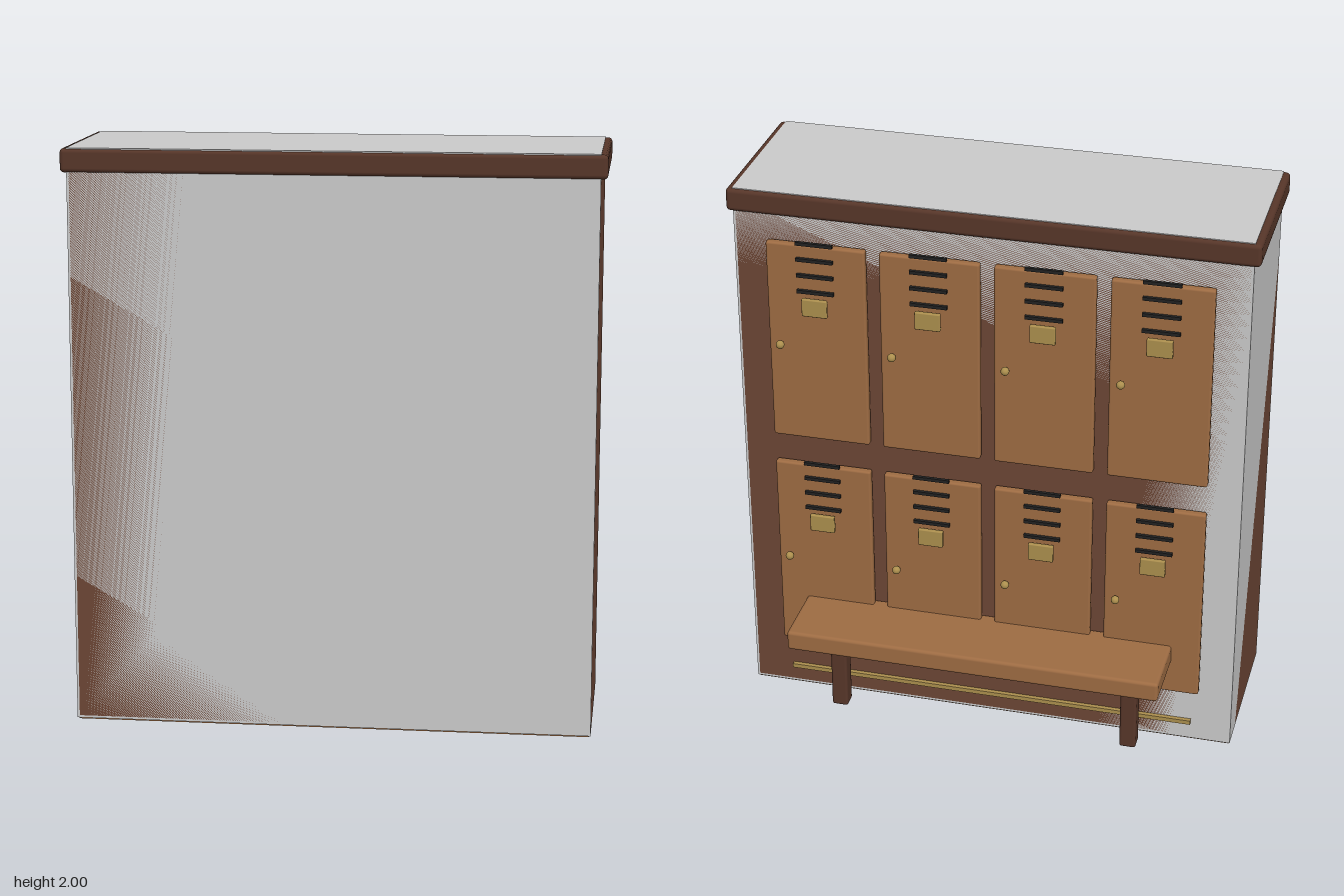
import * as THREE from 'three';
import { RoundedBoxGeometry } from 'three/addons/geometries/RoundedBoxGeometry.js';

const mat = (color) => new THREE.MeshStandardMaterial({ color });

export function createModel() {
  const group = new THREE.Group();
  group.name = 'lockerCabinet';
  const grey = mat(0xcccccc);
  const bodyWood = mat(0x6c4635);
  const darkWood = mat(0x573629);
  const wood = mat(0x9e6c43);
  const brass = mat(0xac8f4e);
  const black = mat(0x222222);

  const add = (parent, name, geometry, material, x, y, z) => {
    const mesh = new THREE.Mesh(geometry, material);
    mesh.name = name;
    mesh.position.set(x, y, z);
    parent.add(mesh);
    return mesh;
  };
  const box = (w, h, d) => new THREE.BoxGeometry(w, h, d);
  const rounded = (w, h, d, r) => new RoundedBoxGeometry(w, h, d, 2, r);

  // Square-edged casing flush with the wooden body, base board and rounded crown
  add(group, 'casing', box(1.79, 1.995, 0.592), grey, 0, 1.0025, 0.139);
  add(group, 'body', rounded(1.79, 1.96, 0.592, 0.008), bodyWood, 0, 0.985, 0.139);
  add(group, 'baseBoard', box(1.78, 0.02, 0.582), wood, 0, 0.01, 0.139);
  add(group, 'crown', rounded(1.836, 0.082, 0.61, 0.015), darkWood, 0, 1.957, 0.137);

  // One locker door, with its origin at the middle of the door
  const doorGeometry = rounded(0.35, 0.75, 0.03, 0.008);
  const ventGeometry = box(0.13, 0.012, 0.012);
  const plateGeometry = rounded(0.09, 0.065, 0.016, 0.004);
  const knobGeometry = new THREE.SphereGeometry(0.015, 16, 12);
  const addDoor = (x, y) => {
    const locker = new THREE.Group();
    locker.name = 'locker';
    locker.position.set(x, y, -0.178);
    add(locker, 'door', doorGeometry, wood, 0, 0, 0);
    for (let i = 0; i < 4; i++) {
      add(locker, 'vent', ventGeometry, black, 0, 0.385 - i * 0.06, -0.023);
    }
    add(locker, 'labelPlate', plateGeometry, brass, 0, 0.153, -0.037);
    add(locker, 'knob', knobGeometry, brass, 0.13, -0.003, -0.037);
    group.add(locker);
  };
  for (const y of [0.595, 1.455]) {
    for (let i = 0; i < 4; i++) addDoor(-0.602 + i * 0.4, y);
  }

  // Brass strip along the plinth
  add(group, 'kickRail', box(1.5, 0.016, 0.016), brass, 0, 0.08, -0.165);

  // Bench along the lockers
  add(group, 'benchSeat', rounded(1.35, 0.075, 0.284, 0.012), wood, 0, 0.377, -0.298);
  for (const side of [-1, 1]) {
    add(group, 'benchLeg', rounded(0.06, 0.342, 0.06, 0.01), darkWood, side * 0.54, 0.174, -0.24);
  }
  return group;
}
